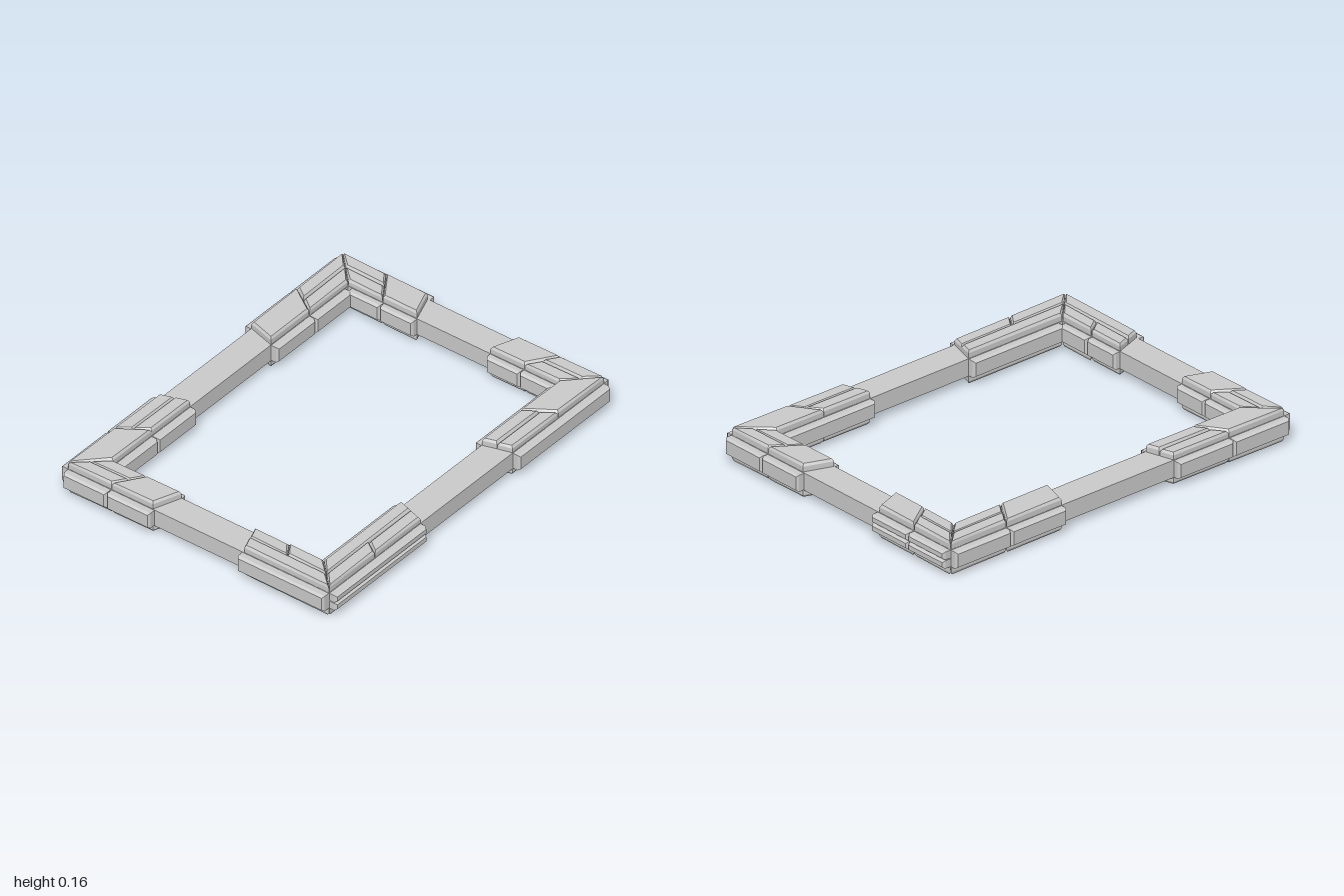
import * as THREE from 'three';

const material = new THREE.MeshStandardMaterial({ color: 0xcccccc, flatShading: true });

// Bar section: outer and inner half sizes, bottom and top heights
const OX = 0.96, IX = 0.82, OZ = 0.72, IZ = 0.58, Y0 = 0.045, Y1 = 0.13;
const GAP = 0.002, BEVEL = 0.008, RISE = 0.012;

// A plate with bevelled rim, its outline in XY, rising h above z = 0
function plateGeometry(points, h) {
  const shape = new THREE.Shape(points.map(([x, y]) => new THREE.Vector2(x, y)));
  return new THREE.ExtrudeGeometry(shape, {
    depth: h - RISE, bevelEnabled: true, bevelThickness: RISE,
    bevelSize: BEVEL, bevelOffset: -BEVEL - GAP, bevelSegments: 1,
  });
}

function add(group, name, geometry) {
  const mesh = new THREE.Mesh(geometry, material);
  mesh.name = name;
  group.add(mesh);
}

// Slanted cut lines [inner, outer] across each arm: free end, middle joint, corner mitre
const CUTS = {
  x: [[0.28, 0.32], [0.55, 0.64], [IX, OX]],
  z: [[0.20, 0.25], [0.39, 0.48], [IZ, OZ]],
};
// Plate layouts: [first cut, second cut, inner fraction, outer fraction]
const LAYOUTS = {
  endStrips: [[0, 1, 0, 0.5], [0, 1, 0.5, 1], [1, 2, 0, 1]],
  cornerStrips: [[0, 1, 0, 1], [1, 2, 0, 0.5], [1, 2, 0.5, 1]],
  outerJoint: [[0, 2, 0, 0.5], [0, 1, 0.5, 1], [1, 2, 0.5, 1]],
  innerJoint: [[0, 2, 0.5, 1], [0, 1, 0, 0.5], [1, 2, 0, 0.5]],
};
const CORNERS = [
  { name: 'frontLeft', sx: 1, sz: 1, x: 'endStrips', z: 'cornerStrips', splitX: true, rowsX: 1, rowsZ: 1 },
  { name: 'frontRight', sx: -1, sz: 1, x: 'outerJoint', z: 'innerJoint', splitX: false, rowsX: 2, rowsZ: 1 },
  { name: 'backLeft', sx: 1, sz: -1, x: 'cornerStrips', z: 'cornerStrips', splitX: true, rowsX: 1, rowsZ: 2 },
  { name: 'backRight', sx: -1, sz: -1, x: 'endStrips', z: 'cornerStrips', splitX: true, rowsX: 1, rowsZ: 1 },
];

// Plates on the top and bottom faces of one arm
function addFlatPlates(group, corner, axis) {
  const { sx, sz } = corner;
  const [inner, outer] = axis === 'x' ? [IZ, OZ] : [IX, OX];
  LAYOUTS[corner[axis]].forEach(([a, b, v0, v1], i) => {
    const at = (cut, v) => {
      const [p, q] = CUTS[axis][cut];
      const along = p + (q - p) * v, across = inner + (outer - inner) * v;
      return axis === 'x' ? [sx * along, sz * across] : [sx * across, sz * along];
    };
    const plan = [at(a, v0), at(b, v0), at(b, v1), at(a, v1)];
    const h = 0.037 - 0.004 * (i % 2);
    add(group, 'topPlate', plateGeometry(plan.map(([x, z]) => [x, -z]), h)
      .rotateX(-Math.PI / 2).translate(0, Y1, 0));
    add(group, 'bottomPlate', plateGeometry(plan, h + 0.003)
      .rotateX(Math.PI / 2).translate(0, Y0, 0));
  });
}

// Upright plates on one wall: axis the wall runs along, signed normal, stops along it
function addWallPlates(group, name, axis, side, normal, offset, stops, rows, h) {
  const angle = axis === 'x' ? (normal > 0 ? 0 : Math.PI) : normal * Math.PI / 2;
  const dir = axis === 'x' ? normal : -normal;
  const rowHeight = (Y1 - Y0) / rows;
  for (let i = 0; i + 1 < stops.length; i++) {
    const a = dir * side * stops[i], b = dir * side * stops[i + 1];
    for (let r = 0; r < rows; r++) {
      const y = Y0 + r * rowHeight;
      const geometry = plateGeometry([[a, y], [b, y], [b, y + rowHeight], [a, y + rowHeight]], h);
      geometry.rotateY(angle);
      if (axis === 'x') geometry.translate(0, 0, offset);
      else geometry.translate(offset, 0, 0);
      add(group, name, geometry);
    }
  }
}

export function createModel() {
  const model = new THREE.Group();
  model.name = 'rectangularFrame';

  // Plain rectangular bar running all the way round
  const rectangle = (x, z) => [[-x, -z], [x, -z], [x, z], [-x, z]].map(([a, b]) => new THREE.Vector2(a, b));
  const outline = new THREE.Shape(rectangle(OX, OZ));
  outline.holes.push(new THREE.Path(rectangle(IX, IZ).reverse()));
  add(model, 'frameBar', new THREE.ExtrudeGeometry(outline, { depth: Y1 - Y0, bevelEnabled: false })
    .rotateX(-Math.PI / 2).translate(0, Y0, 0));

  // Armoured corners
  for (const corner of CORNERS) {
    const { sx, sz, rowsX, rowsZ } = corner;
    const group = new THREE.Group();
    group.name = corner.name + 'Corner';
    addFlatPlates(group, corner, 'x');
    addFlatPlates(group, corner, 'z');

    // Outer walls: long plates at the front, jointed at the back
    const stopsX = sz > 0 ? [0.32, OX] : [0.32, 0.64, OX];
    const stopsZ = sx < 0 && sz > 0 ? [0.24, OZ] : [0.24, 0.48, OZ];
    addWallPlates(group, 'outerPlate', 'x', sx, sz, sz * OZ, stopsX, rowsX, 0.038);
    addWallPlates(group, 'outerPlate', 'z', sz, sx, sx * OX, stopsZ, rowsZ, 0.04);

    // Inner walls
    const innerX = sz > 0 ? [0.28, 0.8] : [0.28, 0.55, 0.8];
    addWallPlates(group, 'innerPlate', 'x', sx, -sz, sz * IZ, innerX, 1, 0.038);
    addWallPlates(group, 'innerPlate', 'z', sz, -sx, sx * IX, [0.2, 0.385, 0.56], 1, 0.034);
    model.add(group);
  }
  return model;
}
